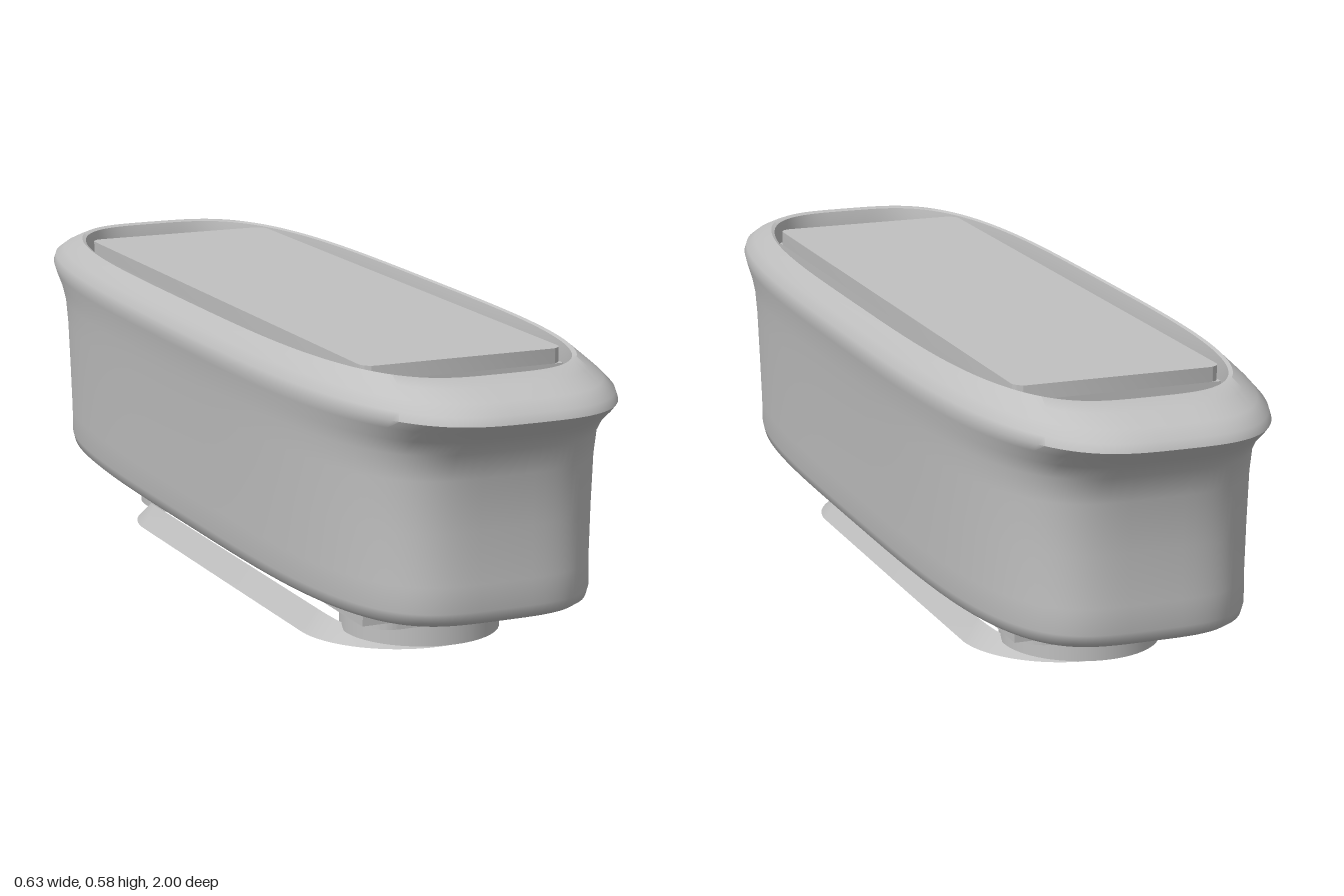
import * as THREE from 'three';
import { toCreasedNormals } from 'three/addons/utils/BufferGeometryUtils.js';

const grey = new THREE.MeshStandardMaterial({ color: 0xc0c0c0 });
grey.name = 'neutral grey';

function add(group, name, geometry, x = 0, y = 0, z = 0) {
  const mesh = new THREE.Mesh(geometry, grey);
  mesh.name = name;
  mesh.position.set(x, y, z);
  group.add(mesh);
  return mesh;
}

// Closed ring: a closed section of `rows` points swept around the y axis
function ringLoft(rows, segments, point, crease) {
  const pos = [], idx = [];
  for (let j = 0; j < rows; j++)
    for (let i = 0; i < segments; i++) pos.push(...point(j, (i / segments) * Math.PI * 2));
  for (let j = 0; j < rows; j++)
    for (let i = 0; i < segments; i++) {
      const k = (j + 1) % rows, n = (i + 1) % segments;
      const a = j * segments + i, b = j * segments + n;
      const c = k * segments + i, d = k * segments + n;
      idx.push(a, c, b, b, c, d);
    }
  const g = new THREE.BufferGeometry();
  g.setAttribute('position', new THREE.Float32BufferAttribute(pos, 3));
  g.setIndex(idx);
  return toCreasedNormals(g, crease);
}

const spow = (v, p) => Math.sign(v) * Math.abs(v) ** p;

// Flat plate lying in the xz plane with rounded corners, bottom at y = 0
function roundedPlate(w, l, r, h) {
  const x = w / 2, z = l / 2, s = new THREE.Shape();
  s.absarc(x - r, z - r, r, 0, Math.PI / 2);
  s.absarc(-x + r, z - r, r, Math.PI / 2, Math.PI);
  s.absarc(-x + r, -z + r, r, Math.PI, Math.PI * 1.5);
  s.absarc(x - r, -z + r, r, Math.PI * 1.5, Math.PI * 2);
  const g = new THREE.ExtrudeGeometry(s, { depth: h, bevelEnabled: false, curveSegments: 12 });
  g.rotateX(-Math.PI / 2);
  return toCreasedNormals(g, 0.6);
}

export function createModel() {
  const model = new THREE.Group();
  model.name = 'housing';

  // Outer shell section: half width, y, half length, squareness
  const section = [
    [0.258, 0.12, 0.85, 3.8], [0.275, 0.122, 0.875, 3.8], [0.286, 0.132, 0.89, 3.8],
    [0.29, 0.15, 0.895, 3.8], [0.292, 0.2, 0.89, 3.8], [0.297, 0.3, 0.887, 3.8],
    [0.303, 0.4, 0.892, 3.7], [0.307, 0.45, 0.905, 3.6], [0.31, 0.48, 0.935, 3.5],
    [0.314, 0.505, 0.975, 3.4], [0.317, 0.522, 1.0, 3.3], [0.313, 0.538, 0.993, 3.3],
    [0.3, 0.556, 0.96, 3.3], [0.284, 0.573, 0.91, 3.4], [0.273, 0.585, 0.87, 3.5],
    [0.268, 0.582, 0.857, 3.5], [0.262, 0.55, 0.85, 3.6], [0.262, 0.2, 0.85, 3.7],
    [0.255, 0.15, 0.842, 3.7], [0.248, 0.128, 0.834, 3.7],
  ];
  add(model, 'outerShell', ringLoft(section.length, 160, (j, t) => {
    const [a, y, b, n] = section[j];
    return [a * spow(Math.cos(t), 2 / n), y, b * spow(Math.sin(t), 2 / n)];
  }, 0.8));

  // Inner block and its top cover
  add(model, 'innerBlock', new THREE.BoxGeometry(0.412, 0.465, 1.42), 0, 0.3225, 0);
  add(model, 'topCover', roundedPlate(0.412, 1.42, 0.025, 0.029), 0, 0.555, 0);

  // Underside plates with a round pad near each end
  for (const s of [1, -1]) {
    add(model, s > 0 ? 'frontPlate' : 'backPlate',
      roundedPlate(0.344, 0.63, 0.06, 0.03), 0, 0.065, s * 0.365);
    add(model, s > 0 ? 'frontPad' : 'backPad',
      new THREE.CylinderGeometry(0.155, 0.155, 0.048, 48), 0, 0.045, s * 0.525);
  }

  // Flared base ring: bottom outer, top and bottom inner edges, lower at the ends
  const straight = 0.417;
  add(model, 'baseRing', ringLoft(3, 96, (j, t) => {
    const c = Math.cos(t), s = Math.sin(t);
    const r = [0.203, 0.172, 0.165][j];
    const y = j === 1 ? 0.015 + 0.03 * c ** 4 : 0;
    const shift = Math.abs(s) < 1e-6 ? 0 : Math.sign(s) * straight;
    return [r * c, y, r * s + shift];
  }, 0.6));

  return model;
}
